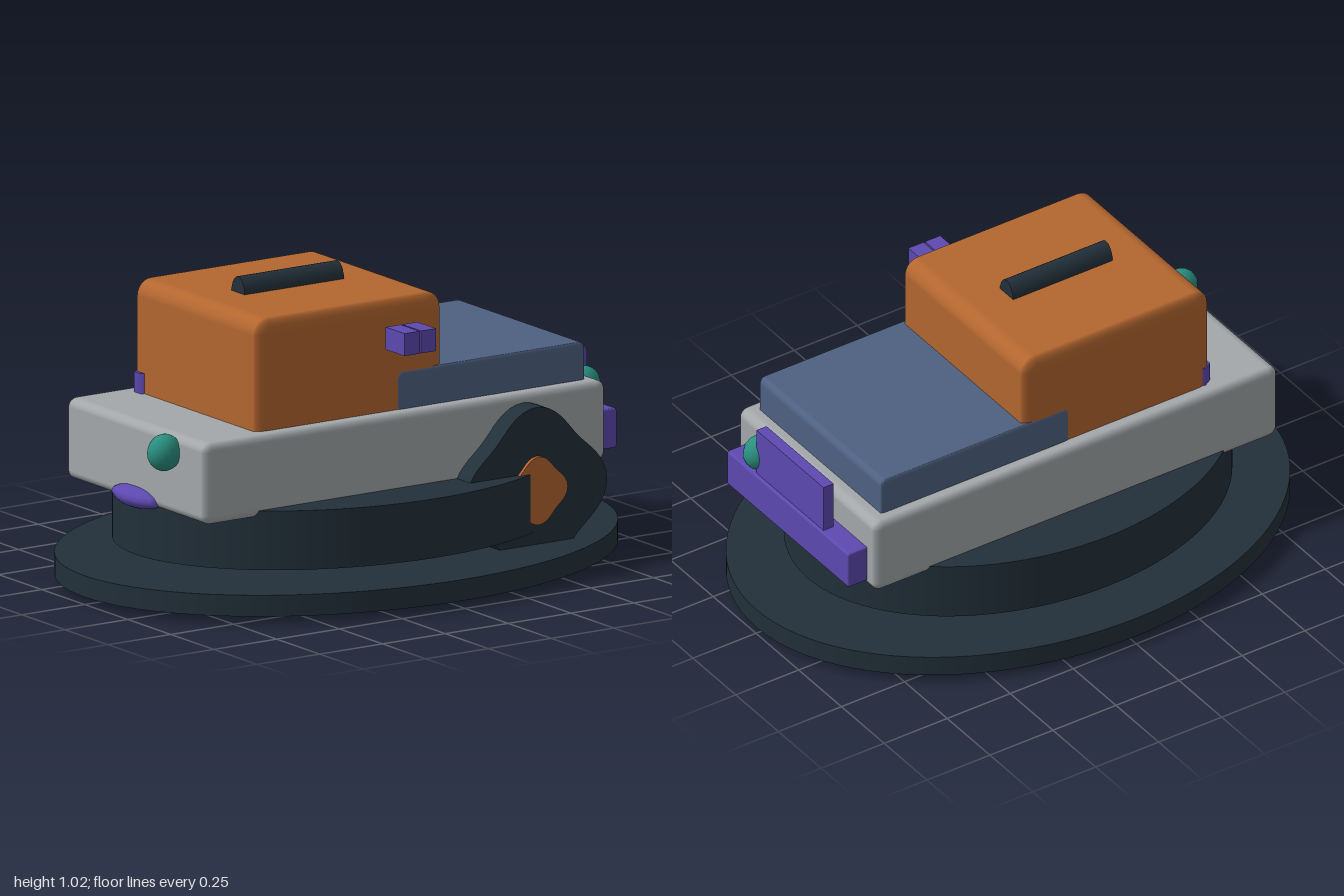
import * as THREE from 'three';
import { RoundedBoxGeometry } from 'three/addons/geometries/RoundedBoxGeometry.js';

const paint = (name, color) => {
  const m = new THREE.MeshStandardMaterial({ color });
  m.name = name;
  return m;
};

// Rounded box given by its limits, with a separate edge radius for each axis
function roundedBlock([x0, x1], [y0, y1], [z0, z1], [rx, ry, rz]) {
  const g = new RoundedBoxGeometry((x1 - x0) / rx, (y1 - y0) / ry, (z1 - z0) / rz, 4, 1);
  const normal = g.attributes.normal;
  g.scale(rx, ry, rz);
  normal.needsUpdate = true;
  return g.translate((x0 + x1) / 2, (y0 + y1) / 2, (z0 + z1) / 2);
}

function block([x0, x1], [y0, y1], [z0, z1]) {
  return new THREE.BoxGeometry(x1 - x0, y1 - y0, z1 - z0)
    .translate((x0 + x1) / 2, (y0 + y1) / 2, (z0 + z1) / 2);
}

function ellipsoid(x, y, z, rx, ry, rz, w = 16, h = 12) {
  return new THREE.SphereGeometry(1, w, h).scale(rx, ry, rz).translate(x, y, z);
}

// Elliptical slab lying flat
function ovalSlab(rx, rz, y0, y1) {
  return new THREE.CylinderGeometry(1, 1, y1 - y0, 96)
    .scale(rx, 1, rz).translate(0, (y0 + y1) / 2, 0);
}

// Disc with four soft lobes, extruded along z
function lobedDisc(x, y, radius, z0, z1) {
  const points = [];
  for (let i = 0; i < 64; i++) {
    const a = (i / 64) * Math.PI * 2;
    const r = radius * (0.915 + 0.085 * Math.cos(4 * a));
    points.push(new THREE.Vector2(r * Math.cos(a), r * Math.sin(a)));
  }
  return new THREE.ExtrudeGeometry(new THREE.Shape(points), { depth: z1 - z0, bevelEnabled: false })
    .translate(x, y, z0);
}

export function createModel() {
  const dark = paint('dark rubber', 0x22303a);
  const grey = paint('body grey', 0xa3a7aa);
  const orange = paint('cabin orange', 0xb3662f);
  const slate = paint('hood slate blue', 0x4e6182);
  const purple = paint('trim purple', 0x5d49b0);
  const teal = paint('lamp teal', 0x2a9080);

  const model = new THREE.Group();
  model.name = 'vehicle';
  const add = (name, geometry, material) => {
    const mesh = new THREE.Mesh(geometry, material);
    mesh.name = name;
    model.add(mesh);
  };

  // Oval plinth
  add('basePlate', ovalSlab(1, 0.743, 0.025, 0.097), dark);
  add('upperPlate', ovalSlab(0.795, 0.59, 0.14, 0.34), dark);

  // Bodywork
  add('body', roundedBlock([-0.8, 0.8], [0.318, 0.592], [-0.402, 0.402], [0.035, 0.03, 0.02]), grey);
  add('cabin', roundedBlock([-0.56, 0.18], [0.48, 0.97], [-0.355, 0.355], [0.055, 0.055, 0.02]), orange);
  add('hood', roundedBlock([0, 0.745], [0.5, 0.72], [-0.358, 0.358], [0.02, 0.025, 0.006]), slate);

  // Roof handle
  add('roofHandle', new THREE.CylinderGeometry(1, 1, 0.395, 20).rotateZ(Math.PI / 2)
    .scale(1, 0.06, 0.039).translate(-0.192, 0.965, 0), dark);

  // Single wheel on the front face
  add('wheel', lobedDisc(0.47, 0.28, 0.28, 0.33, 0.48), dark);
  add('wheelHub', lobedDisc(0.47, 0.28, 0.115, 0.47, 0.493), orange);

  // Small paired blocks held off the cabin
  for (const x of [-0.065, 0.001]) {
    add('frontBlock', block([x, x + 0.06], [0.81, 0.886], [0.383, 0.493]), purple);
  }

  // Lamps and lower bosses at both ends
  for (const side of [-1, 1]) {
    add('lamp', ellipsoid(side * 0.834, 0.536, 0.22, 0.06, 0.062, 0.05), teal);
    add('lowerBoss', ellipsoid(side * 0.79, 0.338, 0, 0.055, 0.037, 0.13, 12, 8), purple);
  }

  // Bumper and grille
  add('bumper', roundedBlock([0.79, 0.875], [0.343, 0.477], [-0.355, 0.355], [0.008, 0.008, 0.005]), purple);
  add('grille', block([0.825, 0.865], [0.46, 0.65], [-0.196, 0.196]), purple);

  // Small latch at the rear corner of the cabin
  add('cabinLatch', new THREE.CylinderGeometry(0.036, 0.036, 0.1, 6)
    .translate(-0.541, 0.61, -0.32), purple);

  return model;
}
